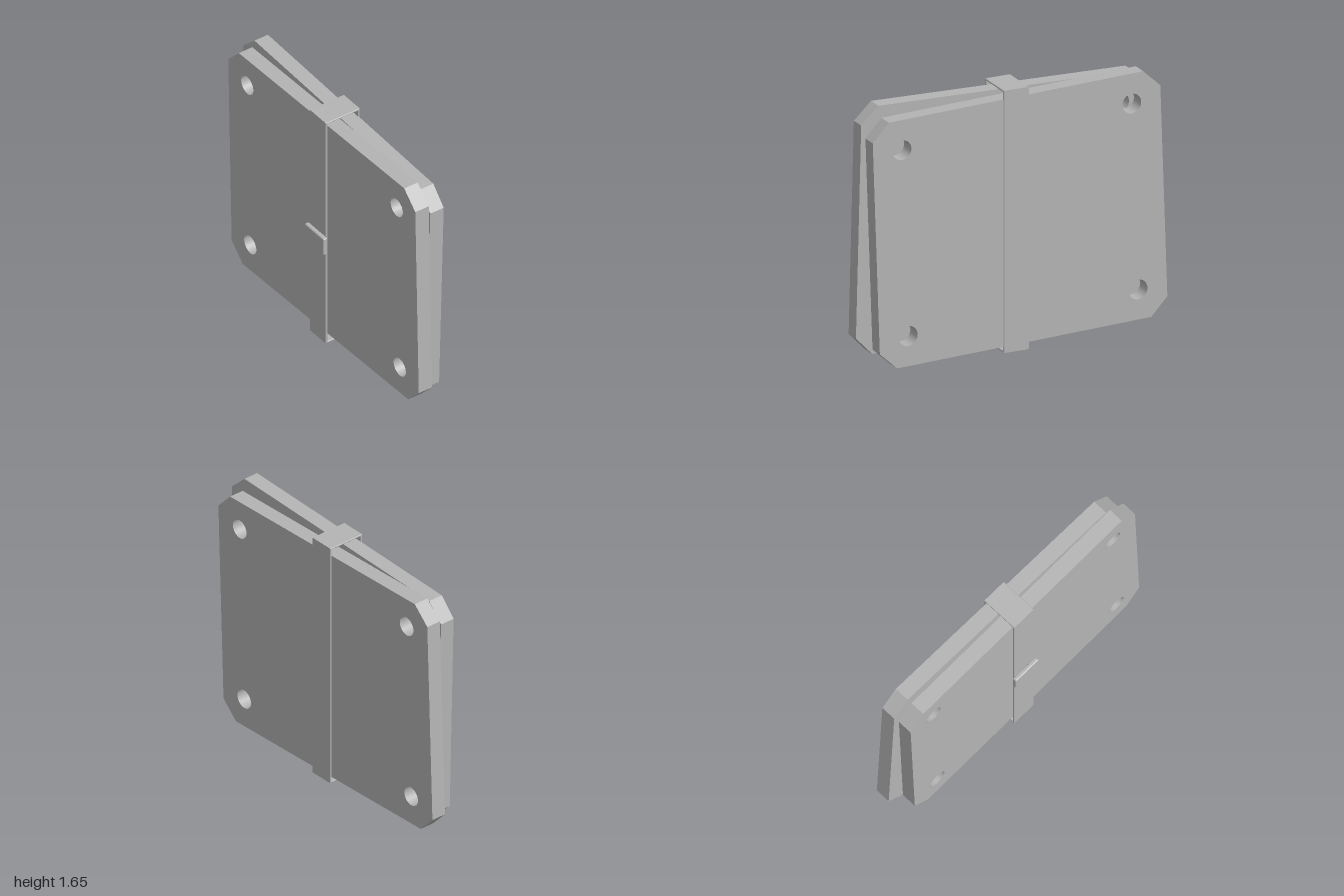
import * as THREE from 'three';

const steel = new THREE.MeshStandardMaterial({ color: 0xb4b4b4, flatShading: true });
steel.name = 'plain grey';

// Path of a rectangle centred on (cx, cy) with cut corners
function cutRect(path, cx, cy, hw, hh, cut) {
  const pts = [];
  for (const [sx, sy] of [[1, 1], [-1, 1], [-1, -1], [1, -1]]) {
    const a = new THREE.Vector2(cx + sx * hw, cy + sy * (hh - cut));
    const b = new THREE.Vector2(cx + sx * (hw - cut), cy + sy * hh);
    if (cut === 0) pts.push(a);
    else pts.push(...(sx * sy > 0 ? [a, b] : [b, a]));
  }
  return path.setFromPoints(pts);
}

function part(name, geometry) {
  const mesh = new THREE.Mesh(geometry, steel);
  mesh.name = name;
  return mesh;
}

// Chamfered plate with a bolt hole near each corner
function plate(name, x, y, z, tilt) {
  const shape = cutRect(new THREE.Shape(), 0, 0, 0.951, 0.7775, 0.11);
  for (const sx of [-1, 1]) for (const sy of [-1, 1]) {
    shape.holes.push(new THREE.Path().absarc(sx * 0.76, sy * 0.588, 0.062, 0, Math.PI * 2, true));
  }
  const mesh = part(name, new THREE.ExtrudeGeometry(shape, { depth: 0.098, bevelEnabled: false, curveSegments: 16 }));
  mesh.position.set(x, y, z);
  mesh.rotation.z = tilt;
  return mesh;
}

export function createModel() {
  const model = new THREE.Group();
  model.name = 'strappedPlates';

  // Two plates, tilted opposite ways
  model.add(plate('frontPlate', 0.029, 0.838, -0.01, 0.026));
  model.add(plate('backPlate', -0.028, 0.82, -0.131, -0.035));

  // Thin band looped around both plates, with softened edges
  const loop = cutRect(new THREE.Shape(), -0.015, 0.826, 0.124, 0.825, 0);
  loop.holes.push(cutRect(new THREE.Path(), -0.015, 0.826, 0.112, 0.813, 0));
  const bevel = 0.003;
  const band = new THREE.ExtrudeGeometry(loop, {
    depth: 0.166 - 2 * bevel, bevelThickness: bevel, bevelSize: bevel, bevelOffset: -bevel, bevelSegments: 1,
  });
  band.rotateY(-Math.PI / 2).translate(0.083 - bevel, 0, 0);
  model.add(part('strap', band));

  // Clasp on the front of the strap
  const face = cutRect(new THREE.Shape(), 0, 0, 0.097, 0.061, 0.005);
  const clasp = new THREE.ExtrudeGeometry(face, {
    depth: 0.014, bevelThickness: 0.008, bevelSize: 0.008, bevelOffset: -0.008, bevelSegments: 2,
  });
  clasp.translate(0.001, 0.742, 0.115);
  model.add(part('clasp', clasp));

  return model;
}
